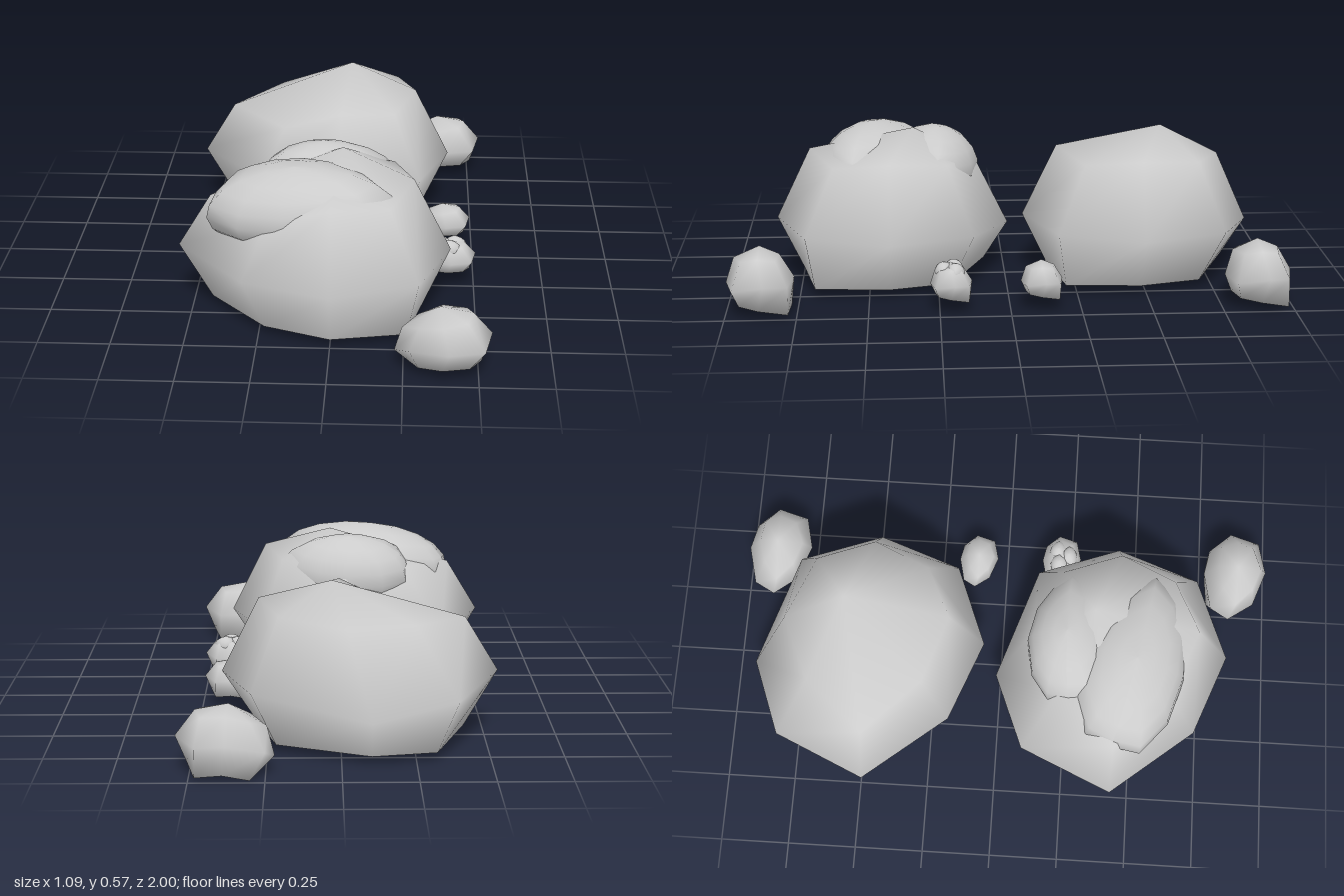
import * as THREE from 'three';

const material = new THREE.MeshStandardMaterial({ color: 0xcccccc });

// Closed boulder: eight-sided rings from base to top (starting at +x, going through +z), a top point and a base point.
function rockGeometry(rings, apex, foot, flatBase) {
  const points = [...rings.flat(), apex];
  const top = points.length - 1;
  const index = [];
  for (let k = 0; k < 8; k++) {
    const n = (k + 1) % 8;
    for (let r = 0; r < rings.length - 1; r++) {
      const a = r * 8, b = a + 8;
      index.push(a + k, b + k, a + n, b + k, b + n, a + n);
    }
    const last = (rings.length - 1) * 8;
    index.push(last + k, top, last + n);
  }
  // A flat base gets its own corners, so its edge stays sharp
  const start = flatBase ? points.length : 0;
  if (flatBase) points.push(...rings[0]);
  const centre = points.length;
  points.push(foot);
  for (let k = 0; k < 8; k++) index.push(start + k, start + (k + 1) % 8, centre);

  const geometry = new THREE.BufferGeometry();
  geometry.setAttribute('position', new THREE.Float32BufferAttribute(points.flat(), 3));
  geometry.setIndex(index);
  geometry.computeVertexNormals();
  return geometry;
}

function addMesh(parent, name, geometry, position, scale = [1, 1, 1], rotation = [0, 0, 0]) {
  const mesh = new THREE.Mesh(geometry, material);
  mesh.name = name;
  mesh.position.set(...position);
  mesh.scale.set(...scale);
  mesh.rotation.set(...rotation);
  parent.add(mesh);
}

// Uneven lump, mostly sunk into a rock, that breaks through its top
function lumpGeometry() {
  const geometry = new THREE.SphereGeometry(1, 12, 10);
  const p = geometry.attributes.position;
  for (let i = 0; i < p.count; i++) {
    const angle = Math.atan2(p.getZ(i), p.getX(i));
    const s = 1 + 0.05 * Math.sin(3 * angle + 1) + 0.03 * Math.cos(5 * angle);
    p.setXYZ(i, p.getX(i) * s, p.getY(i), p.getZ(i) * s);
  }
  geometry.computeVertexNormals();
  return geometry;
}

export function createModel() {
  const model = new THREE.Group();
  model.name = 'rocks';

  const boulder = rockGeometry([
    [[0.28, 0.03, 0], [0.26, 0.03, 0.27], [0, 0.03, 0.32], [-0.23, 0.03, 0.23],
      [-0.43, 0.03, 0], [-0.32, 0.03, -0.31], [-0.1, 0.03, -0.35], [0.22, 0.03, -0.22]],
    [[0.41, 0.23, 0], [0.3, 0.23, 0.3], [0, 0.23, 0.415], [-0.3, 0.23, 0.3],
      [-0.545, 0.23, 0], [-0.39, 0.21, -0.33], [-0.1, 0.17, -0.44], [0.3, 0.23, -0.3]],
    [[0.28, 0.49, 0], [0.2, 0.46, 0.2], [0, 0.49, 0.29], [-0.22, 0.4, 0.2],
      [-0.43, 0.42, 0], [-0.25, 0.44, -0.21], [-0.02, 0.45, -0.31], [0.21, 0.47, -0.21]],
  ], [0.03, 0.57, -0.09], [0, 0.022, 0], true);

  const stone = rockGeometry([
    [[0.13, 0.035, 0], [0.09, 0.04, 0.07], [0, 0.04, 0.09], [-0.08, 0.03, 0.05],
      [-0.12, 0.02, -0.03], [-0.08, 0, -0.1], [0.01, 0.02, -0.11], [0.1, 0.01, -0.1]],
    [[0.165, 0.13, -0.02], [0.14, 0.11, 0.09], [0.02, 0.11, 0.118], [-0.11, 0.1, 0.07],
      [-0.16, 0.06, -0.02], [-0.13, 0.09, -0.09], [0, 0.12, -0.12], [0.1, 0.11, -0.1]],
    [[0.1, 0.212, 0], [0.08, 0.2, 0.06], [0, 0.195, 0.09], [-0.08, 0.18, 0.06],
      [-0.135, 0.155, 0], [-0.08, 0.18, -0.05], [0, 0.205, -0.07], [0.08, 0.2, -0.06]],
  ], [-0.01, 0.232, 0], [0, 0.035, -0.02], false);

  const lump = lumpGeometry();

  // Two large boulders
  addMesh(model, 'backBoulder', boulder, [0, 0, -0.48]);
  addMesh(model, 'frontBoulder', boulder, [0, 0, 0.425]);

  // Worn lumps on top of the front boulder
  addMesh(model, 'frontBoulderRearLump', lump, [-0.04, 0.41, 0.26], [0.25, 0.148, 0.16], [-0.15, 0, 0.03]);
  addMesh(model, 'frontBoulderFrontLump', lump, [-0.12, 0.41, 0.48], [0.33, 0.15, 0.2], [0.1, -0.2, 0.1]);

  // Outer stones
  addMesh(model, 'backStone', stone, [0.38, 0, -0.88]);
  addMesh(model, 'frontStone', stone, [0.38, 0, 0.88]);

  // Small middle stones, the front one with lumps on top
  const small = [0.61, 0.58, 0.62];
  addMesh(model, 'backPebble', stone, [0.39, 0.035, -0.11], small);
  addMesh(model, 'frontPebble', stone, [0.405, 0.035, 0.21], small);
  for (const [x, z] of [[0.38, 0.2], [0.43, 0.195], [0.41, 0.235]]) {
    addMesh(model, 'frontPebbleLump', lump, [x, 0.138, z], [0.04, 0.035, 0.033]);
  }
  return model;
}
